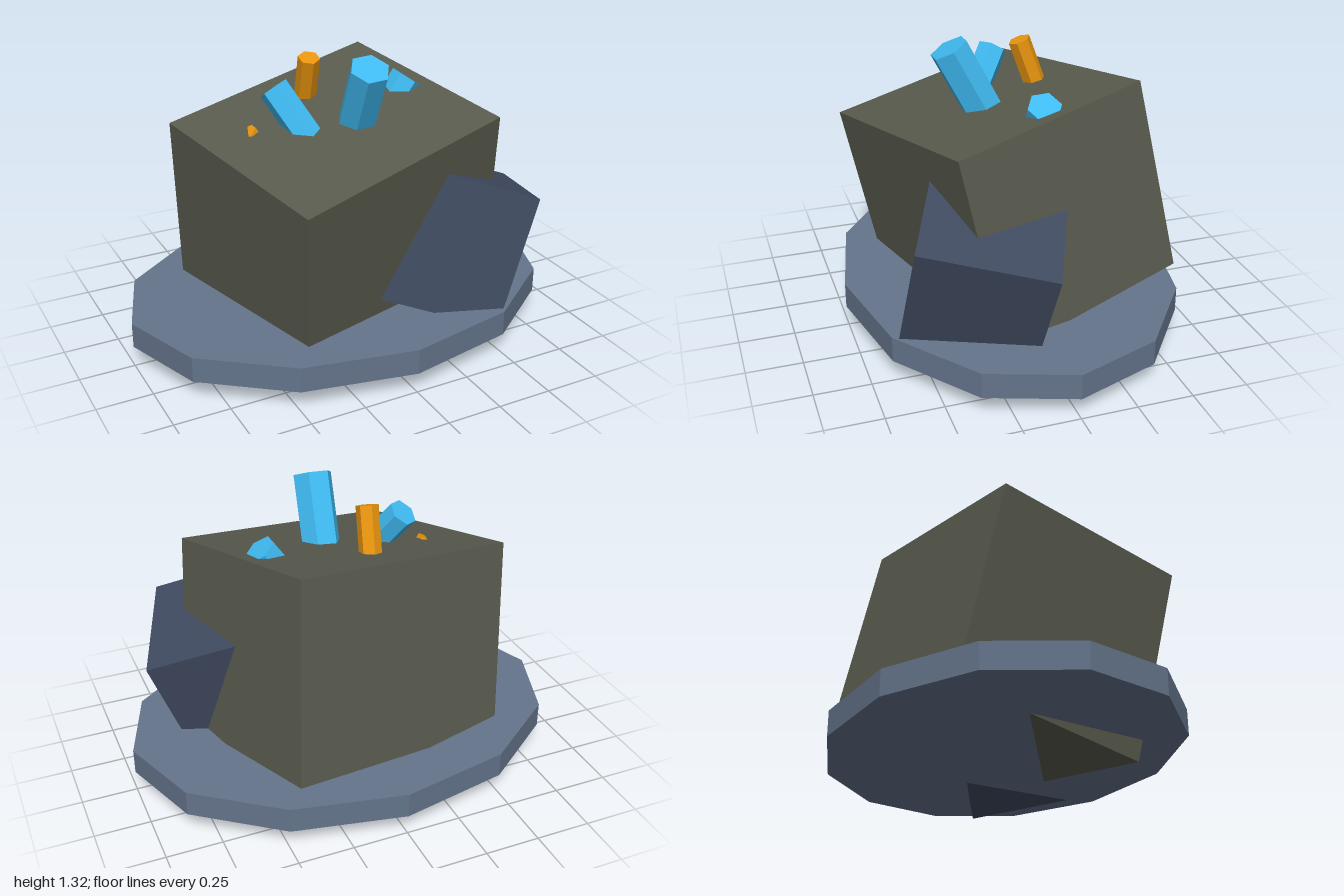
import * as THREE from 'three';

const V = (a) => new THREE.Vector3(...a);

function addMesh(group, name, geometry, color) {
  const material = new THREE.MeshStandardMaterial({ color, flatShading: true });
  const mesh = new THREE.Mesh(geometry, material);
  mesh.name = name;
  group.add(mesh);
  return mesh;
}

// Tilted block: top front right corner, direction of its right and up edges, size
function addBlock(group, name, corner, right, up, size, color) {
  const x = V(right).normalize();
  const z = x.clone().cross(V(up)).normalize();
  const y = z.clone().cross(x);
  const geometry = new THREE.BoxGeometry(...size);
  geometry.translate(-size[0] / 2, -size[1] / 2, -size[2] / 2);
  const mesh = addMesh(group, name, geometry, color);
  mesh.quaternion.setFromRotationMatrix(new THREE.Matrix4().makeBasis(x, y, z));
  mesh.position.set(...corner);
}

// Six-sided crystal: centre of its end cap, direction it grows in
function addCrystal(group, name, cap, direction, radius, length, turn, color) {
  const geometry = new THREE.CylinderGeometry(radius, radius, length, 6);
  geometry.rotateY(turn);
  geometry.translate(0, -length / 2, 0);
  const mesh = addMesh(group, name, geometry, color);
  mesh.quaternion.setFromUnitVectors(new THREE.Vector3(0, 1, 0), V(direction).normalize());
  mesh.position.set(...cap);
}

export function createModel() {
  const model = new THREE.Group();
  model.name = 'crystalRock';

  // Flat oval slab, a corner on each axis
  const slab = new THREE.CylinderGeometry(1, 1, 0.115, 12);
  slab.scale(1, 1, 0.757);
  slab.translate(0, 0.153, 0);
  addMesh(model, 'baseSlab', slab, 0x64748b);

  // Large and small boulders, both sunk through the slab
  addBlock(model, 'largeBoulder', [0.61, 1.02, 0.385], [1.07, 0.155, -0.27],
    [-0.08, 0.865, 0.175], [1.114, 0.886, 0.916], 0x595b4e);
  addBlock(model, 'smallBoulder', [0.7, 0.69, 0.593], [0.355, -0.125, 0.155],
    [0.225, 0.57, -0.04], [0.6, 0.614, 0.584], 0x3f4a5f);

  // Crystals growing out of the large boulder
  const blue = 0x3fb9f0;
  const orange = 0xe8950f;
  addCrystal(model, 'tallBlueCrystal', [0.027, 1.288, 0.255], [-0.06, 1, 0.51], 0.089, 0.4, Math.PI / 6, blue);
  addCrystal(model, 'leftBlueCrystal', [-0.285, 1.165, -0.04], [-0.5, 1, -0.65], 0.068, 0.3, 0, blue);
  addCrystal(model, 'rightBlueCrystal', [0.39, 1.115, -0.05], [0.57, 0.82, 0.05], 0.075, 0.2, 0, blue);
  addCrystal(model, 'tallOrangeCrystal', [-0.083, 1.258, -0.1], [-0.06, 1, 0.35], 0.05, 0.3, 0, orange);
  addCrystal(model, 'smallOrangeCrystal', [-0.428, 0.999, -0.005], [-0.55, 0.83, 0], 0.045, 0.15, 0, orange);

  return model;
}
